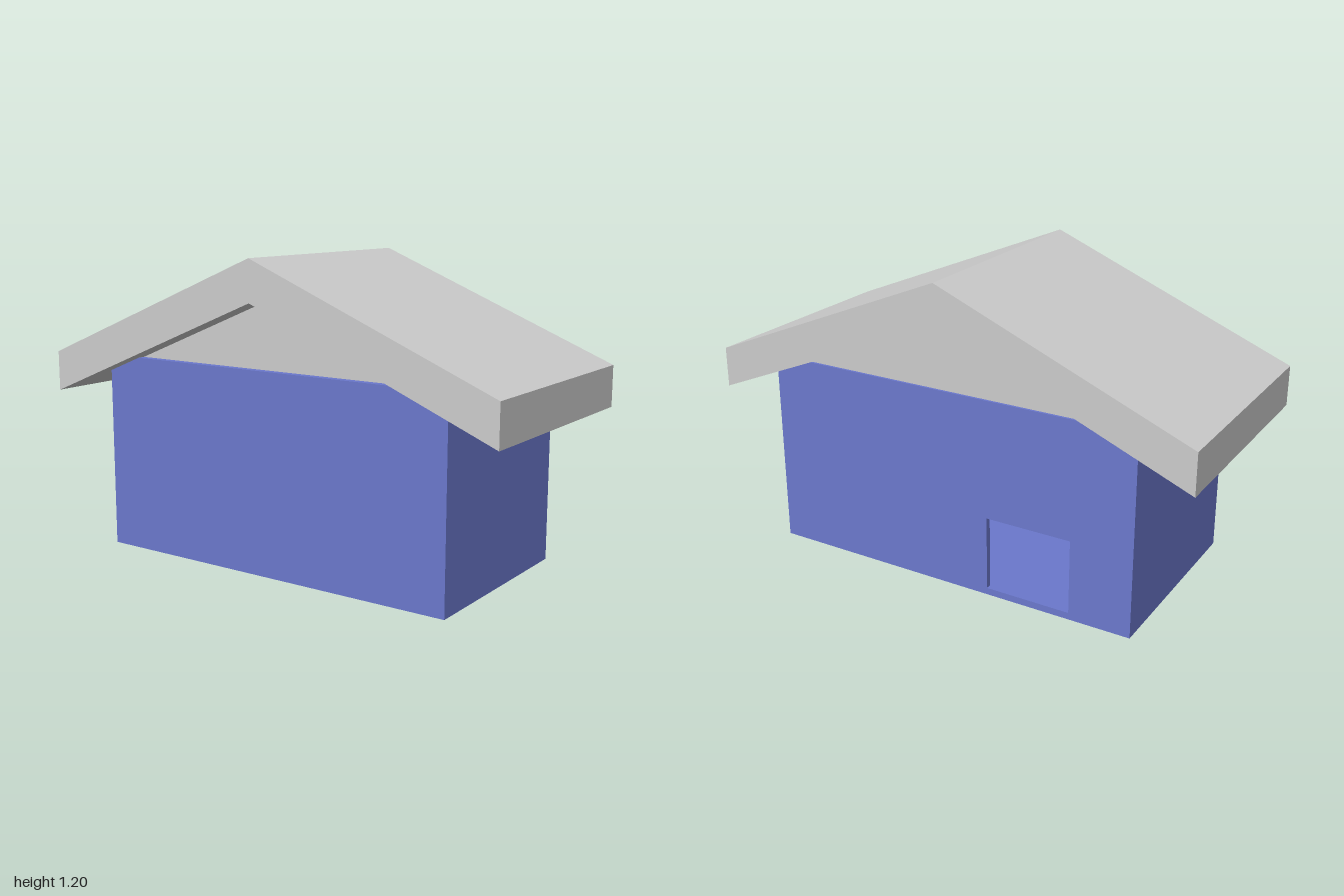
import * as THREE from 'three';

const blue = new THREE.MeshStandardMaterial({ color: 0x6b78cc });
const grey = new THREE.MeshStandardMaterial({ color: 0xcccccc });

// Extrude a side profile of [u, y] points (u = -z) along x, from x0 to x1.
function slab(name, points, x0, x1, material, hole) {
  const toVec = ([u, y]) => new THREE.Vector2(u, y);
  const shape = new THREE.Shape(points.map(toVec));
  if (hole) shape.holes.push(new THREE.Path(hole.map(toVec)));
  const geometry = new THREE.ExtrudeGeometry(shape, { depth: x1 - x0, bevelEnabled: false });
  geometry.rotateY(Math.PI / 2).translate(x0, 0, 0);
  const mesh = new THREE.Mesh(geometry, material);
  mesh.name = name;
  return mesh;
}

const rect = (u0, u1, y0, y1) => [[u0, y0], [u1, y0], [u1, y1], [u0, y1]];

export function createModel() {
  const model = new THREE.Group();
  model.name = 'kennel';

  const left = 0.42, right = -0.395, depth = 0.775, height = 0.785, wall = 0.022;
  const ridge = 1.2, eave = 0.79, thick = 0.16;

  // Hollow body: a rectangular tube of floor, ceiling and end walls
  const body = new THREE.Group();
  body.name = 'body';
  body.add(slab('shell', rect(-depth, depth, 0, height), right + wall, left - wall, blue,
    rect(-depth + wall, depth - wall, 0.025, height - wall)));

  // Closed side wall, and the side wall with the doorway
  body.add(slab('closedWall', rect(-depth, depth, 0, height), right, right + wall, blue));
  body.add(slab('doorWall', rect(-depth, depth, 0, height), left - wall, left, blue,
    rect(0.185, 0.53, 0.027, 0.32)));
  model.add(body);

  // Gable infill under the roof, slightly set back from the walls
  const reach = (ridge - thick - height) / (ridge - eave);
  model.add(slab('gable', [[-reach, height], [reach, height], [0, ridge - thick]],
    right + 0.03, left - 0.01, grey));

  // Thick pitched roof with overhangs
  model.add(slab('roof', [
    [-1, eave - thick], [0, ridge - thick], [1, eave - thick],
    [1, eave], [0, ridge], [-1, eave],
  ], -0.47, 0.467, grey));

  return model;
}
